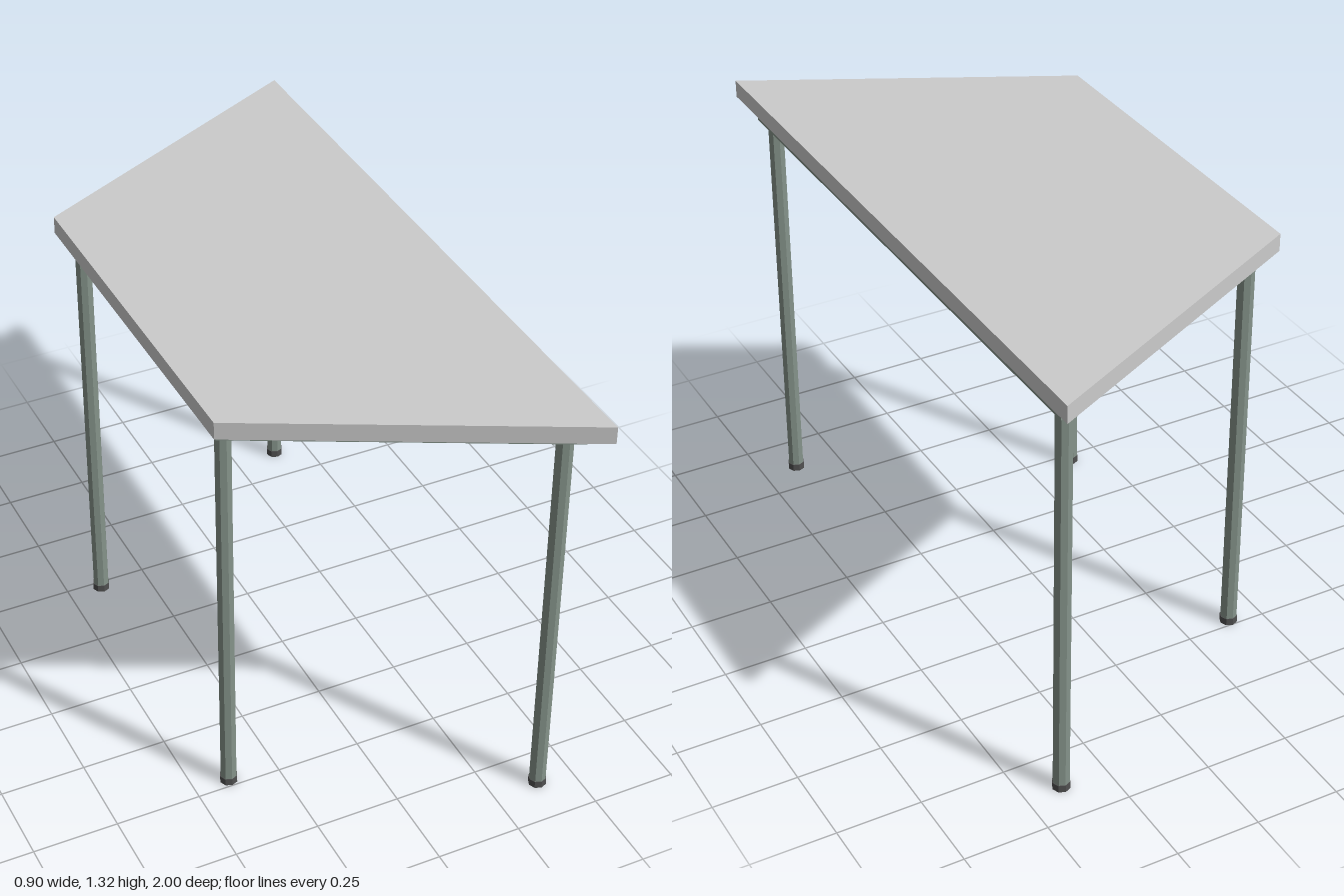
import * as THREE from 'three';

const grey = new THREE.MeshStandardMaterial({ color: 0xcccccc, flatShading: true });
const green = new THREE.MeshStandardMaterial({ color: 0x85938a, flatShading: true });
const dark = new THREE.MeshStandardMaterial({ color: 0x505050, flatShading: true });

// Symmetric trapezoid: half depth zl at x = xl, zr at x = xr
const trapezoid = (xl, zl, xr, zr) => [[xl, -zl], [xr, -zr], [xr, zr], [xl, zl]].map(([x, z]) => new THREE.Vector2(x, z));

// Flat slab lying between y0 and y1, with an optional opening
function slab(name, outline, y0, y1, material, opening) {
  const shape = new THREE.Shape(outline);
  if (opening) shape.holes.push(new THREE.Path(opening));
  const geometry = new THREE.ExtrudeGeometry(shape, { depth: y1 - y0, bevelEnabled: false });
  geometry.rotateX(-Math.PI / 2).translate(0, y0, 0);
  const mesh = new THREE.Mesh(geometry, material);
  mesh.name = name;
  return mesh;
}

// Upright eight-sided post from y0 to y1
function post(name, radius, y0, y1, material) {
  const geometry = new THREE.CylinderGeometry(radius, radius, y1 - y0, 8);
  geometry.translate(0, (y0 + y1) / 2, 0);
  const mesh = new THREE.Mesh(geometry, material);
  mesh.name = name;
  return mesh;
}

export function createModel() {
  const table = new THREE.Group();
  table.name = 'trapezoidTable';

  // Table top and the rail frame under it
  table.add(slab('tableTop', trapezoid(-0.452, 0.545, 0.452, 1), 1.268, 1.32, grey));
  table.add(slab('railFrame', trapezoid(-0.424, 0.49, 0.422, 0.916), 1.22, 1.268, green,
    trapezoid(-0.38, 0.464, 0.38, 0.846)));

  // Four legs with dark foot caps
  const legs = [
    ['frontRightLeg', -0.396, 0.473], ['backRightLeg', -0.396, -0.477],
    ['frontLeftLeg', 0.39, 0.861], ['backLeftLeg', 0.39, -0.875],
  ];
  for (const [name, x, z] of legs) {
    const leg = new THREE.Group();
    leg.name = name;
    leg.position.set(x, 0, z);
    leg.add(post('legTube', 0.024, 0.01, 1.25, green), post('footCap', 0.026, 0, 0.022, dark));
    table.add(leg);
  }
  return table;
}
